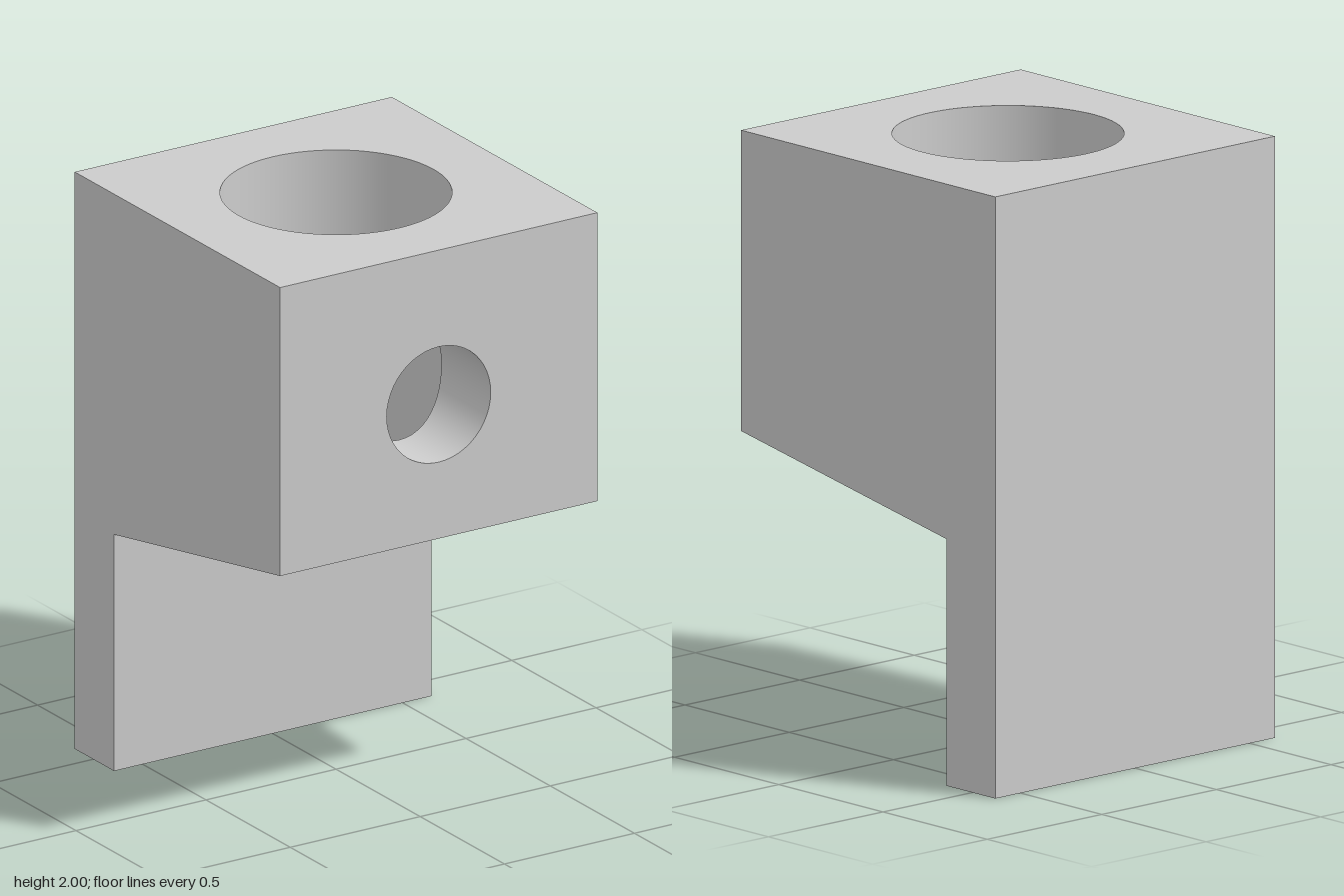
import * as THREE from 'three';

const H = 0.61, TOP = 2, FRONT_Y = 1, STEP_Y = 0.82, STEP_Z = -0.376; // block and plate
const BORE = 0.375, HOLE = 0.2, HOLE_Y = 1.465;                        // hole radii
const slopeY = z => FRONT_Y - (H - z) * (FRONT_Y - STEP_Y) / (H - STEP_Z);
const v2 = (x, y) => new THREE.Vector2(x, y);

// Bore angles from +z, each with the half height of the cross hole opening there
const N = 24, boreSteps = [];
for (let i = 0; i <= N; i++) {
  const phi = -Math.PI / 2 + Math.PI * i / N;
  boreSteps.push({ t: Math.asin(HOLE / BORE * Math.sin(phi)), gap: HOLE * Math.cos(phi) });
}
const edge = Math.asin(HOLE / BORE);
for (let i = 1; i <= 60; i++) {
  boreSteps.push({ t: edge + (2 * Math.PI - 2 * edge) * i / 60, gap: 0 });
}
const borePoint = (t, y) => new THREE.Vector3(
  BORE * Math.sin(t), y ?? slopeY(BORE * Math.cos(t)), BORE * Math.cos(t));

// Flat face with an optional hole
function face(points, hole) {
  const shape = new THREE.Shape(points);
  if (hole) shape.holes.push(new THREE.Path(hole));
  return new THREE.ShapeGeometry(shape);
}
const rect = (x0, y0, x1, y1) => [v2(x0, y0), v2(x1, y0), v2(x1, y1), v2(x0, y1)];

// Curved wall between two matching rows of points
function strip(a, b, normalAt) {
  const pos = [], nor = [], index = [];
  a.forEach((p, i) => {
    for (const q of [p, b[i]]) {
      pos.push(q.x, q.y, q.z);
      nor.push(...normalAt(q).normalize().toArray());
    }
    if (i) index.push(2 * i - 2, 2 * i, 2 * i - 1, 2 * i, 2 * i + 1, 2 * i - 1);
  });
  const g = new THREE.BufferGeometry();
  g.setAttribute('position', new THREE.Float32BufferAttribute(pos, 3));
  g.setAttribute('normal', new THREE.Float32BufferAttribute(nor, 3));
  g.setIndex(index);
  return g;
}

export function createModel() {
  const group = new THREE.Group();
  const material = new THREE.MeshStandardMaterial({ color: 0xcccccc });
  const add = (name, geometry) => {
    const mesh = new THREE.Mesh(geometry, material);
    mesh.name = name;
    group.add(mesh);
  };

  // Top and sloped underside, both pierced by the bore
  const ring = boreSteps.slice(0, -1).map(s => v2(BORE * Math.sin(s.t), BORE * Math.cos(s.t)));
  const flipped = ring.map(p => v2(p.x, -p.y));
  add('topFace', face(rect(-H, -H, H, H), flipped).rotateX(-Math.PI / 2).translate(0, TOP, 0));
  const under = face(rect(-H, STEP_Z, H, H), ring).rotateX(Math.PI / 2);
  const p = under.attributes.position;
  for (let i = 0; i < p.count; i++) p.setY(i, slopeY(p.getZ(i)));
  under.computeVertexNormals();
  add('slopedUnderside', under);

  // Front face with the cross hole
  const circle = [];
  for (let i = 0; i <= 2 * N; i++) {
    const a = Math.PI * i / N;
    circle.push(v2(HOLE * Math.cos(a), HOLE_Y + HOLE * Math.sin(a)));
  }
  add('frontFace', face(rect(-H, FRONT_Y, H, TOP), circle.slice(0, -1)).translate(0, 0, H));

  // Sides share one profile
  const profile = [[-H, 0], [STEP_Z, 0], [STEP_Z, STEP_Y], [H, FRONT_Y], [H, TOP], [-H, TOP]];
  for (const s of [1, -1]) {
    add(s > 0 ? 'leftSide' : 'rightSide',
      face(profile.map(([z, y]) => v2(-s * z, y))).rotateY(s * Math.PI / 2).translate(s * H, 0, 0));
  }

  // Back plate
  add('backFace', face(rect(-H, 0, H, TOP)).rotateY(Math.PI).translate(0, 0, -H));
  add('plateFront', face(rect(-H, 0, H, STEP_Y)).translate(0, 0, STEP_Z));
  add('plateBottom', face(rect(-H, -H, H, STEP_Z)).rotateX(Math.PI / 2));

  // Bore wall above and below the cross hole opening
  const inward = q => new THREE.Vector3(-q.x, 0, -q.z);
  add('boreWallUpper', strip(boreSteps.map(s => borePoint(s.t, TOP)),
    boreSteps.map(s => borePoint(s.t, HOLE_Y + s.gap)), inward));
  add('boreWallLower', strip(boreSteps.map(s => borePoint(s.t, HOLE_Y - s.gap)),
    boreSteps.map(s => borePoint(s.t)), inward));

  // Cross hole wall running from the front face to the bore
  add('crossHoleWall', strip(circle.map(c => new THREE.Vector3(c.x, c.y, H)),
    circle.map(c => new THREE.Vector3(c.x, c.y, Math.sqrt(BORE * BORE - c.x * c.x))),
    q => new THREE.Vector3(-q.x, HOLE_Y - q.y, 0)));

  return group;
}
